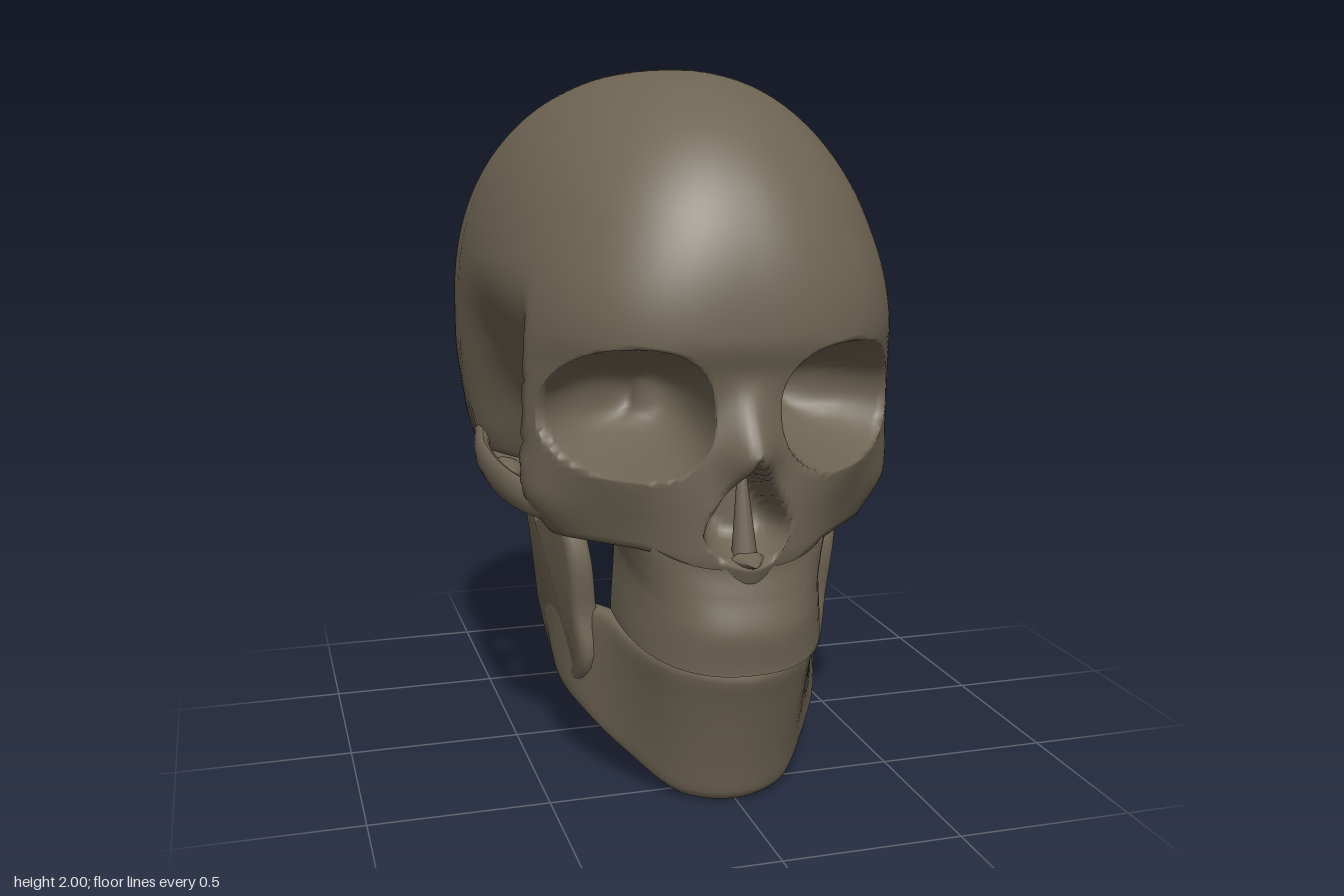
import * as THREE from 'three';
import { toCreasedNormals } from 'three/addons/utils/BufferGeometryUtils.js';

const { smoothstep, clamp, lerp, degToRad } = THREE.MathUtils;
const V = (x, y, z) => new THREE.Vector3(x, y, z);
const bell = t => Math.exp(-t * t);
const spow = (t, e) => Math.sign(t) * Math.abs(t) ** e;

// Smooth curve through points that never overshoots them
function ramp(...p) {
  const d = p.slice(1).map((q, i) => (q[1] - p[i][1]) / (q[0] - p[i][0]));
  const m = p.map((_, i) => {
    const a = d[i - 1] ?? 0, b = d[i] ?? 0;
    return a * b > 0 ? 2 * a * b / (a + b) : 0;
  });
  return x => {
    if (x <= p[0][0]) return p[0][1];
    if (x >= p[p.length - 1][0]) return p[p.length - 1][1];
    const i = p.findIndex(q => q[0] > x) - 1;
    const h = p[i + 1][0] - p[i][0], t = (x - p[i][0]) / h;
    const s = t * t * (3 - 2 * t);
    return lerp(p[i][1], p[i + 1][1], s)
      + h * (m[i] * t * (1 - t) ** 2 - m[i + 1] * t * t * (1 - t));
  };
}

// Surface of closed rings: fn(v, u) gives a point, u runs round the ring
function loft(rows, cols, fn) {
  const pos = [], idx = [];
  for (let i = 0; i <= rows; i++) {
    for (let j = 0; j < cols; j++) {
      pos.push(...fn(i / rows, j / cols).toArray());
      if (i === rows) continue;
      const a = i * cols + j, b = i * cols + (j + 1) % cols;
      idx.push(a, a + cols, b, b, a + cols, b + cols);
    }
  }
  const g = new THREE.BufferGeometry();
  g.setAttribute('position', new THREE.Float32BufferAttribute(pos, 3));
  g.setIndex(idx);
  g.computeVertexNormals();
  return g;
}

// Horizontal section of the braincase and face at height y
const lowFront = ramp([0.6, 0.69], [0.72, 0.725], [0.9, 0.72], [1, 0.715], [1.12, 0.70], [1.2, 0.712], [1.3, 0.74]);
const lowBack = ramp([0.6, -0.2], [0.65, -0.44], [0.72, -0.59], [0.87, -0.7], [1.02, -0.76], [1.2, -0.797], [1.3, -0.797]);
const lowWidth = ramp([0.6, 0.27], [0.65, 0.38], [0.72, 0.47], [0.9, 0.565], [1, 0.585], [1.2, 0.605]);
const lowMid = ramp([0.6, -0.12], [0.85, -0.3]);
const boxyFront = ramp([0.75, 2.2], [1.05, 2.7], [1.3, 2.75], [1.6, 2.35], [1.95, 2.05]);
const boxyBack = ramp([0.6, 2.1], [1, 2.35], [1.25, 2.5], [1.6, 2.3], [1.95, 2.05]);
function section(y) {
  if (y < 1.3) return { mid: lowMid(y), front: lowFront(y), back: lowBack(y), w: lowWidth(y) };
  const s = Math.max(0, 1 - ((y - 1.3) / 0.7) ** 2.2) ** (1 / 2.2);
  return { mid: -0.05 - 0.25 * s, front: -0.05 + 0.79 * s, back: -0.05 - 0.747 * s, w: 0.605 * s };
}
function frontZ(x, y) {
  const { mid, front, w } = section(y), n = boxyFront(y);
  return mid + (front - mid) * Math.max(0, 1 - Math.abs(x / w) ** n) ** (1 / n);
}

// Openings of the face, each with a distance that is 1 on its rim
const orbit = {
  cx: 0.29, cy: 1.105, depth: 0.3, inward: 0.3, soft: 0.75,
  q: (x, y) => (Math.abs(x / 0.2) ** 2.35 + Math.abs(y / 0.178) ** 2.35) ** (1 / 2.35),
};
const nose = {
  cx: 0, cy: 0.85, depth: 0.15, inward: 0, soft: 0.5,
  q: (x, y) => Math.hypot(x / (0.14 * clamp((0.17 - y) / 0.24, 0.1, 1)), y / 0.15),
};
const bridge = ramp([0.9, 0.03], [1, 0.085], [1.1, 0.045], [1.22, 0]);
const cheek = ramp([0.68, 0.05], [0.83, 0.085], [0.92, 0.055], [1, 0.03], [1.2, 0.012], [1.4, 0]);

// Lower edge of the shell by angle from the front, in degrees
const lowerEdge = ramp([0, 0.64], [6, 0.66], [12, 0.71], [18, 0.735], [34, 0.735], [41, 0.75], [47, 0.77], [53, 0.85], [86, 0.85], [91, 0.6]);

function skullPoint(v, u) {
  const k = v * 1.1;
  const a = (u - 0.5) * Math.PI * 2, th = a - 0.5 * Math.sin(a);
  const yb = lowerEdge(Math.abs(th) / degToRad(1));
  let y = yb + (2 - yb) * Math.cos(Math.min(k, 1) * Math.PI / 2);
  const { mid, front, back, w } = section(y);
  const sn = Math.sin(th), cs = Math.cos(th), side = Math.sign(sn) || 1;
  const n = cs > 0 ? boxyFront(y) : boxyBack(y);
  const depth = Math.max(cs > 0 ? front - mid : mid - back, 1e-5);
  const r = (Math.abs(sn / Math.max(w, 1e-5)) ** n + Math.abs(cs / depth) ** n) ** (-1 / n);
  let x = r * sn, z = mid + r * cs, push = 0;

  if (cs > 0 && z > 0.3) {
    // Eye sockets and nose opening, with vertices drawn towards the rims
    let slide = 0;
    for (const o of [orbit, nose]) {
      const dx = Math.abs(x) - o.cx, dy = y - o.cy;
      let q = o.q(dx, dy);
      const off = q - 1;
      if (Math.abs(off) < 0.25) {
        const q2 = 1 + off * Math.abs(off) / 0.25;
        x = side * (o.cx + dx * q2 / q);
        y = o.cy + dy * q2 / q;
        z = frontZ(x, y);
        q = q2;
      }
      if (q < 1) {
        const p = o.depth * (1 - Math.max(0, 1 - (1 - q) / o.soft) ** 2);
        push += p;
        slide += p * o.inward;
      }
    }
    z += bridge(y) * bell(x / 0.065) - push;
    x -= side * slide;
  }
  // Cheekbones and outer eye rims, with hollow temples behind them
  const edge = 0.32 + 0.07 * clamp((y - 0.88) / 0.45, 0, 1);
  const ahead = smoothstep(z, edge - 0.06, edge + 0.01);
  if (push === 0) x += side * cheek(y) * ahead * bell((z - 0.38) / 0.12);
  x *= 1 - 0.24 * (1 - smoothstep(y, 0.95, 1.48)) * (1 - ahead) * smoothstep(z, -0.32, 0.1);

  const p = V(x, y, z);
  // Underside closes towards the middle of the base
  return k > 1 ? p.lerp(V(0, 0.95, -0.05), (k - 1) / 0.1) : p;
}

// Upper jaw: a U-shaped block with a slanted biting edge
const jawFront = ramp([0, 0.73], [0.25, 0.745], [0.6, 0.77], [1, 0.76]);
const jawWidth = ramp([0, 0.315], [0.25, 0.295], [0.5, 0.28], [1, 0.29]);
function upperJawPoint(v, u) {
  if (v === 1) return V(0, 0.467, 0.5);
  const k = Math.min(1, v / 0.95), a = (u - 0.5) * Math.PI * 2, c = Math.cos(a);
  const z = 0.36 + (c > 0 ? jawFront(k) - 0.36 : 0.02) * spow(c, 0.85);
  const top = 0.68 + (0.76 - z) * 0.5, bottom = 0.41 + (0.76 - z) * 0.22;
  return V(jawWidth(k) * spow(Math.sin(a), 0.85), lerp(top, bottom, k), z);
}

// Lower jaw body: a tall rounded section swept round the U of the jaw
function lowerJawGeometry() {
  const half = [
    [V(0, 0.405, 0.71), V(0, 0, 0.59)],
    [V(0.16, 0.425, 0.645), V(0.125, 0.01, 0.545)],
    [V(0.24, 0.452, 0.5), V(0.23, 0.08, 0.43)],
    [V(0.28, 0.483, 0.36), V(0.32, 0.155, 0.3)],
    [V(0.36, 0.49, 0.2), V(0.372, 0.215, 0.13)],
    [V(0.38, 0.5, 0.02), V(0.38, 0.33, 0)],
  ];
  const flip = p => V(-p.x, p.y, p.z);
  const rail = i => new THREE.CatmullRomCurve3(
    [...half.slice(1).reverse().map(s => flip(s[i])), ...half.map(s => s[i])]);
  const top = rail(0), bottom = rail(1);
  return loft(60, 28, (v, u) => {
    const T = top.getPoint(v), B = bottom.getPoint(v), t = top.getTangent(v);
    const out = V(-t.z, 0, t.x).normalize();
    const back = Math.abs(v - 0.5) * 2, h = lerp(0.07, 0.03, back);
    const a = u * Math.PI * 2, sn = Math.sin(a);
    return T.clone().add(B).multiplyScalar(0.5)
      .addScaledVector(T.sub(B), 0.5 * spow(Math.cos(a), 0.6))
      .addScaledVector(out, h * spow(sn, 0.6) - 0.04 * (1 - back) * sn * sn);
  });
}

// Upright branch of the lower jaw, drawn from the side and bent outwards
function ramusGeometry() {
  const outline = [[-0.07, 0.42], [-0.05, 0.6], [-0.06, 0.74], [-0.04, 0.785], [0.01, 0.75], [0.06, 0.70],
    [0.11, 0.69], [0.16, 0.73], [0.22, 0.8], [0.28, 0.74], [0.31, 0.62], [0.295, 0.47], [0.3, 0.32],
    [0.16, 0.225], [0.02, 0.3], [-0.04, 0.36]];
  const shape = new THREE.Shape(new THREE.SplineCurve(
    [...outline, outline[0]].map(([z, y]) => new THREE.Vector2(-z, y))).getPoints(64).slice(0, -1));
  const g = new THREE.ExtrudeGeometry(shape, { depth: 0.03, bevelThickness: 0.02, bevelSize: 0.02, bevelSegments: 3 });
  g.rotateY(Math.PI / 2);
  const p = g.attributes.position;
  for (let i = 0; i < p.count; i++) {
    p.setX(i, p.getX(i) + 0.352 + 0.12 * (p.getY(i) - 0.3) - 0.2 * Math.max(0, p.getZ(i) - 0.12));
  }
  return toCreasedNormals(g, 1);
}

// Cheek arch: a tube flattened sideways
function archGeometry() {
  const path = new THREE.CatmullRomCurve3([V(0.4, 0.82, 0.44), V(0.495, 0.82, 0.33), V(0.54, 0.828, 0.18),
    V(0.556, 0.836, -0.05), V(0.555, 0.86, -0.2), V(0.53, 0.93, -0.31)].map(p => p.setX(p.x * 2)));
  const g = new THREE.TubeGeometry(path, 40, 0.048, 12).scale(0.5, 1, 1);
  g.computeVertexNormals();
  return g;
}

export function createModel() {
  const skull = new THREE.Group();
  skull.name = 'skull';
  const bone = new THREE.MeshStandardMaterial({ color: 0x6e6453, side: THREE.DoubleSide });
  bone.name = 'bone';
  const add = (name, geometry, x = 0, y = 0, z = 0) => {
    const mesh = new THREE.Mesh(geometry, bone);
    mesh.name = name;
    mesh.position.set(x, y, z);
    skull.add(mesh);
    return mesh;
  };

  add('craniumAndFace', loft(110, 220, skullPoint));
  add('upperJaw', loft(40, 72, upperJawPoint));
  add('lowerJaw', lowerJawGeometry());

  // Wall inside the nose and the small spine below it
  add('noseWall', new THREE.CylinderGeometry(0.008, 0.035, 0.27, 10), 0, 0.85, 0.66).rotation.x = -0.12;
  const spine = add('noseSpine', new THREE.ConeGeometry(0.05, 0.08, 10), 0, 0.71, 0.74);
  spine.rotation.x = Math.PI / 2;
  spine.scale.z = 0.5;

  // Paired parts
  const arch = archGeometry(), ramus = ramusGeometry();
  const knob = new THREE.SphereGeometry(1, 16, 12);
  for (const [side, s] of [['left', 1], ['right', -1]]) {
    add(side + 'CheekArch', arch).scale.x = s;
    add(side + 'JawBranch', ramus).scale.x = s;
    add(side + 'JawJoint', knob, s * 0.42, 0.765, -0.035).scale.set(0.065, 0.045, 0.045);
    add(side + 'JointSocket', knob, s * 0.52, 0.825, -0.03).scale.set(0.06, 0.04, 0.08);
  }
  return skull;
}
